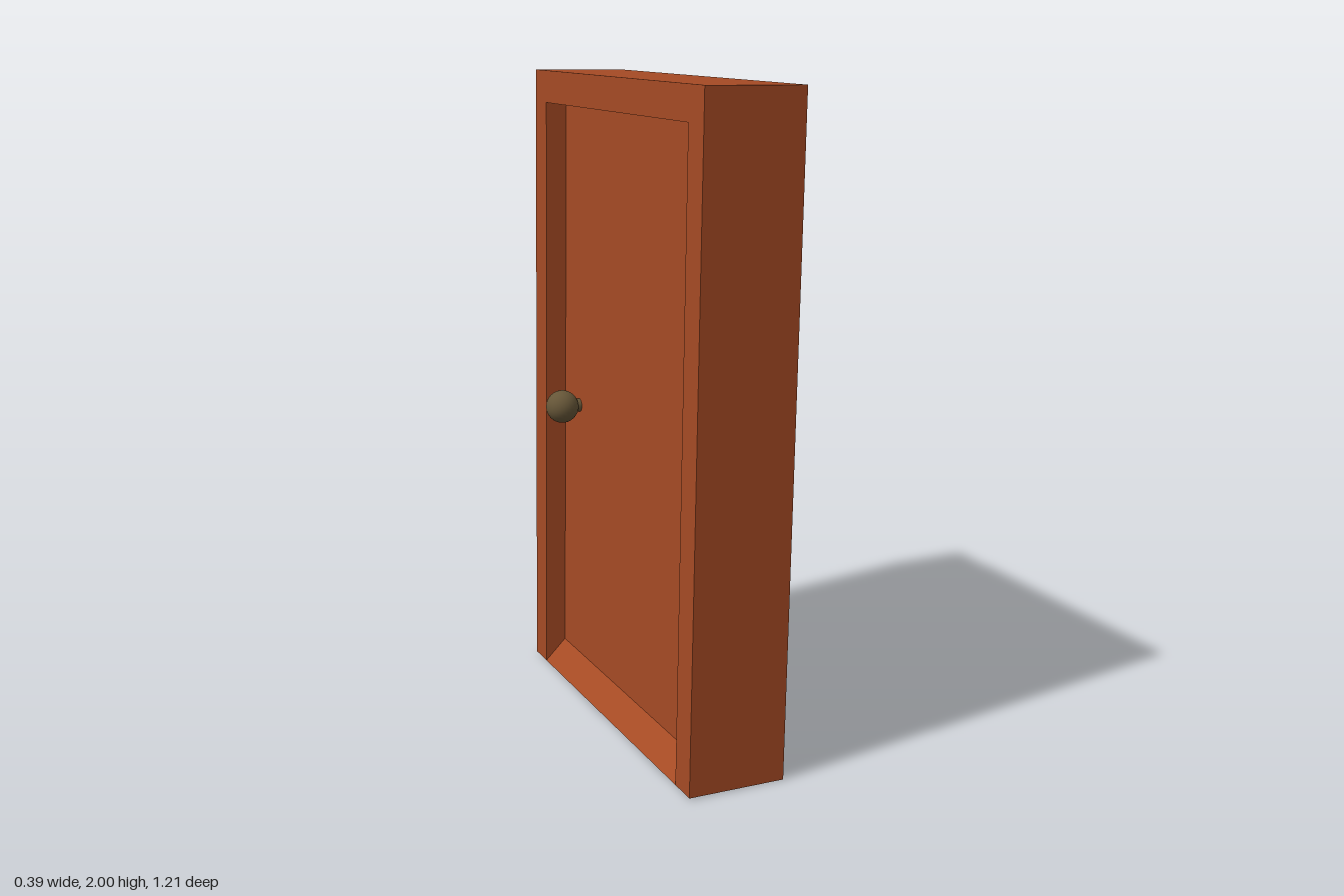
import * as THREE from 'three';

const H = 1.992, W = 1.208, D = 0.305;       // overall height, width (z) and depth (x)
const OPEN = 0.5125, OPEN_TOP = 1.892;       // half width and top of the opening
const PANEL = 0.168, SILL = 0.07;            // panel thickness, sill height

export function createModel() {
  const wood = new THREE.MeshStandardMaterial({ color: 0xa54a24 });
  wood.name = 'reddish wood';
  const brass = new THREE.MeshStandardMaterial({ color: 0x665638 });
  brass.name = 'dark brass';

  const door = new THREE.Group();
  door.name = 'door';
  const add = (name, geometry, material, x = 0, y = 0, z = 0) => {
    const mesh = new THREE.Mesh(geometry, material);
    mesh.name = name;
    mesh.position.set(x, y, z);
    door.add(mesh);
    return mesh;
  };
  const outline = (points) => new THREE.Shape(points.map(([x, y]) => new THREE.Vector2(x, y)));
  const extrude = (points, depth) =>
    new THREE.ExtrudeGeometry(outline(points), { depth, bevelEnabled: false }).translate(0, 0, -depth / 2);

  // Frame: two jambs and a header in one arch-shaped piece
  const w = W / 2;
  const frame = extrude([
    [-w, 0], [-OPEN, 0], [-OPEN, OPEN_TOP], [OPEN, OPEN_TOP],
    [OPEN, 0], [w, 0], [w, H], [-w, H],
  ], D).rotateY(Math.PI / 2);
  add('frame', frame, wood);

  // Sill sloping down to both sides
  const d = D / 2, p = PANEL / 2;
  add('sill', extrude([[-d, 0], [d, 0], [p, SILL], [-p, SILL]], OPEN * 2), wood);

  // Recessed panel
  const panelHeight = OPEN_TOP - SILL;
  add('panel', new THREE.BoxGeometry(PANEL, panelHeight, OPEN * 2), wood, 0, SILL + panelHeight / 2, 0);

  // Knob and stem on each side
  for (const side of [-1, 1]) {
    const name = side > 0 ? 'left' : 'right';
    add(name + 'Knob', new THREE.SphereGeometry(0.053, 24, 16), brass, side * 0.144, 0.925, -0.392);
    const stem = new THREE.CylinderGeometry(0.022, 0.022, 0.05, 16).rotateZ(Math.PI / 2);
    add(name + 'KnobStem', stem, brass, side * 0.098, 0.925, -0.392);
  }

  // The whole door stands very slightly askew
  for (const part of door.children) part.position.y -= H / 2;
  door.position.y = 1;
  door.rotation.set(0.0025, 0.005, -0.015);

  const model = new THREE.Group();
  model.name = 'doorModel';
  model.add(door);
  return model;
}
